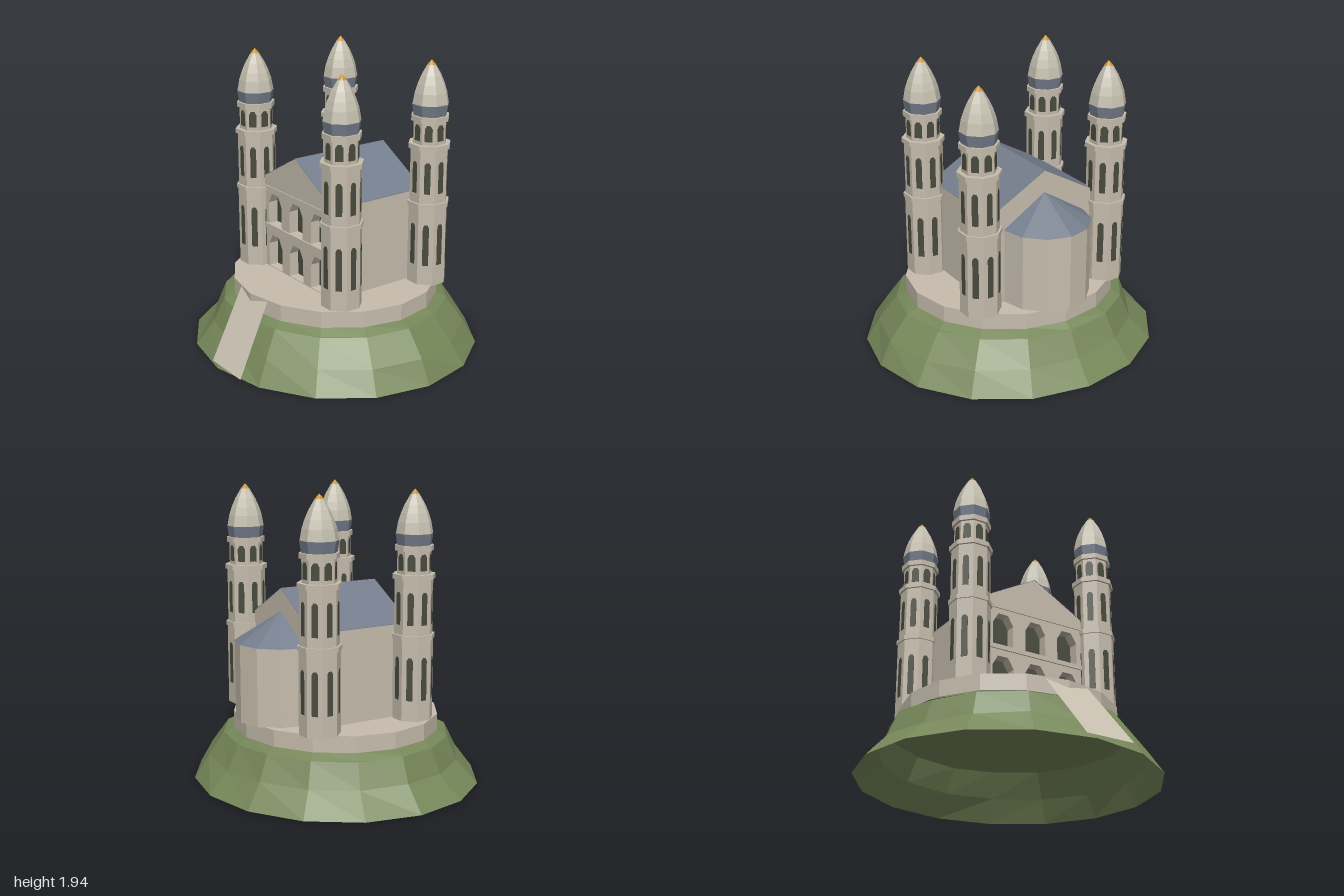
import * as THREE from 'three';
import { mergeGeometries } from 'three/addons/utils/BufferGeometryUtils.js';

const mat = (name, color, extra = {}) =>
  Object.assign(new THREE.MeshStandardMaterial({ color, flatShading: true, ...extra }), { name });

// Turn any geometry into crisp, faceted triangles
function facet(geo) {
  const g = geo.index ? geo.toNonIndexed() : geo;
  g.computeVertexNormals();
  return g;
}

// Arch outline with a chamfered head, standing on (x, y)
function trace(path, x, y, w, h) {
  const pts = [[-w / 2, 0], [w / 2, 0], [w / 2, h - w * 0.45], [w * 0.24, h], [-w * 0.24, h], [-w / 2, h - w * 0.45]];
  path.setFromPoints(pts.map(([a, b]) => new THREE.Vector2(x + a, y + b)));
  return path;
}

const poly = (pts) => new THREE.Shape(pts.map(([x, y]) => new THREE.Vector2(x, y)));
const extrude = (shape, depth, z = 0) =>
  new THREE.ExtrudeGeometry(shape, { depth, bevelEnabled: false }).translate(0, 0, z);

// Octagonal prism with flat sides facing the axes; a0 and a1 are half widths
function octagon(a0, a1, y0, y1) {
  const k = Math.cos(Math.PI / 8);
  return facet(new THREE.CylinderGeometry(a1 / k, a0 / k, y1 - y0, 8)
    .rotateY(Math.PI / 8).translate(0, (y0 + y1) / 2, 0));
}

export function createModel() {
  const model = new THREE.Group();
  const stone = mat('stone', 0xc6bdad);
  const domeStone = mat('pale dome stone', 0xc5c0b0);
  const path = mat('path stone', 0xcac1b1);
  const grass = mat('grass', 0x77885a, { side: THREE.DoubleSide });
  const slate = mat('slate', 0x747d8c);
  const dark = mat('dark opening', 0x4a4b3e);
  const gold = mat('gold', 0xc8922e);

  const add = (parent, name, geo, material) => {
    const mesh = new THREE.Mesh(facet(geo), material);
    mesh.name = name;
    parent.add(mesh);
    return mesh;
  };

  // Hill: sixteen-sided open shell, steeper on its right, with slightly uneven middle rings
  const rings = [[1, 0], [0.88, 0.15], [0.785, 0.31], [0.7, 0.352]];
  const hill = new THREE.LatheGeometry(rings.map(([r, y]) => new THREE.Vector2(r, y)), 16);
  const pos = hill.attributes.position;
  for (let i = 0; i < pos.count; i++) {
    const ring = i % 4, side = Math.floor(i / 4) % 16;
    const lean = ring === 1 ? 0.04 * Math.sin(side * Math.PI / 8) : 0;
    const wobble = ring === 1 || ring === 2 ? 0.012 * Math.sin(side * 2.3 - 0.9) : 0;
    const s = 1 + lean + wobble;
    pos.setXYZ(i, pos.getX(i) * s, pos.getY(i) + wobble * 0.6, pos.getZ(i) * s * 0.94);
  }
  add(model, 'hill', hill, grass);
  add(model, 'hillFloor', new THREE.CircleGeometry(0.785, 16).rotateX(-Math.PI / 2)
    .scale(1, 1, 0.925).translate(0, 0.31, 0), grass);

  // Terrace
  add(model, 'terrace', new THREE.CylinderGeometry(0.715, 0.715, 0.108, 16)
    .scale(1, 1, 0.943).translate(0, 0.401, 0), stone);

  // Sloping path: a thin sheet skewed towards the left
  const ramp = new THREE.PlaneGeometry(1, 1);
  const rp = ramp.attributes.position;
  for (let i = 0; i < rp.count; i++) {
    const t = 0.5 - rp.getY(i);
    rp.setXYZ(i, rp.getX(i) * (0.31 + 0.025 * t) + 0.102 * t, 0.45 - 0.425 * t, 0.642 + 0.29 * t);
  }
  add(model, 'path', ramp, path);

  // Hall body with gables
  const hall = new THREE.Group();
  hall.name = 'hall';
  model.add(hall);
  const outline = () => poly([[-0.408, 0.45], [0.408, 0.45], [0.408, 1.069], [0, 1.298], [-0.408, 1.069]]);
  add(hall, 'hallBody', extrude(outline(), 0.645, -0.41), stone);

  // Front wall pierced by two rows of arches
  const front = outline();
  for (const x of [-0.243, 0, 0.243]) {
    front.holes.push(trace(new THREE.Path(), x, 0.46, 0.155, 0.23));
    front.holes.push(trace(new THREE.Path(), x, 0.765, 0.15, 0.218));
  }
  add(hall, 'frontArcade', extrude(front, 0.075, 0.235), stone);
  add(hall, 'arcadeShadow', new THREE.BoxGeometry(0.74, 0.53, 0.006).translate(0, 0.725, 0.239), dark);
  add(hall, 'balconyBand', new THREE.BoxGeometry(0.74, 0.03, 0.02).translate(0, 0.75, 0.31), stone);
  add(hall, 'gableBand', new THREE.BoxGeometry(0.74, 0.012, 0.014).translate(0, 1.026, 0.31), stone);

  // Ridge roof
  add(hall, 'roof', extrude(poly([[-0.41, 1.067], [0, 1.297], [0.41, 1.067], [0.41, 1.07], [0, 1.3], [-0.41, 1.07]]),
    0.724, -0.412), slate);

  // Rounded apse at the back
  add(hall, 'apse', new THREE.CylinderGeometry(0.3, 0.3, 0.51, 12).translate(0, 0.705, -0.41), stone);
  add(hall, 'apseRoof', new THREE.ConeGeometry(0.305, 0.19, 12).translate(0, 1.055, -0.41), slate);

  // Corner towers
  const shafts = [octagon(0.122, 0.122, 0.45, 0.985), octagon(0.117, 0.117, 1.015, 1.37), octagon(0.102, 0.102, 1.4, 1.55)];
  const bands = [octagon(0.13, 0.13, 0.985, 1.015), octagon(0.13, 0.13, 1.37, 1.402), octagon(0.117, 0.117, 1.55, 1.585)];
  const panes = [];
  for (let i = 0; i < 8; i++) {
    for (const [a, y, w, h] of [[0.122, 0.59, 0.04, 0.28], [0.117, 1.08, 0.04, 0.21], [0.102, 1.425, 0.05, 0.105]]) {
      panes.push(extrude(trace(new THREE.Shape(), 0, y, w, h), 0.004, a - 0.002).rotateY(i * Math.PI / 4));
    }
  }
  const windowGeo = mergeGeometries(panes);
  const domeProfile = [[0.121, 1.657], [0.108, 1.73], [0.09, 1.785], [0.066, 1.84], [0.026, 1.908]];
  const domeGeo = new THREE.LatheGeometry(domeProfile.map(([r, y]) => new THREE.Vector2(r, y)), 8, Math.PI / 8);

  for (const x of [-0.477, 0.477]) {
    for (const z of [-0.408, 0.295]) {
      const tower = new THREE.Group();
      tower.name = (z > 0 ? 'front' : 'back') + (x > 0 ? 'Left' : 'Right') + 'Tower';
      tower.position.set(x, 0, z);
      shafts.forEach((g) => add(tower, 'towerShaft', g, stone));
      bands.forEach((g) => add(tower, 'towerBand', g, stone));
      add(tower, 'towerWindows', windowGeo, dark);
      add(tower, 'domeCollar', octagon(0.103, 0.114, 1.585, 1.658), slate);
      add(tower, 'dome', domeGeo, domeStone);
      add(tower, 'finial', new THREE.ConeGeometry(0.029, 0.032, 8).rotateY(Math.PI / 8).translate(0, 1.921, 0), gold);
      model.add(tower);
    }
  }
  return model;
}
